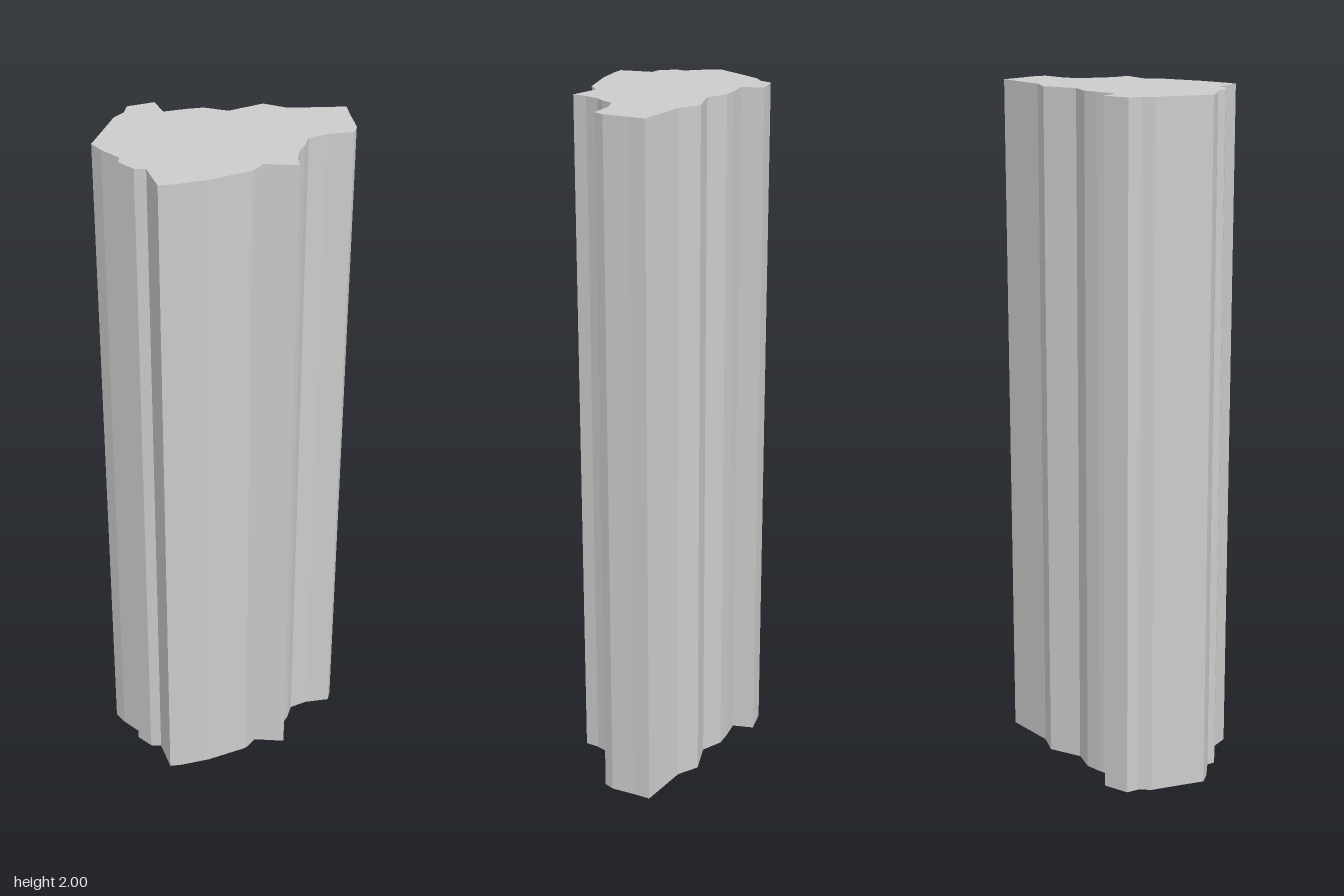
import * as THREE from 'three';

// Irregular footprint of the column as [x, z]
const OUTLINE = [
  // back right ridge
  [0.164, -0.328], [0.2, -0.296], [0.256, -0.25], [0.271, -0.221],
  // +x side with its sharp fin
  [0.224, -0.165], [0.203, -0.116], [0.221, -0.076], [0.227, -0.049],
  [0.25, -0.012], [0.279, 0.017], [0.206, 0.07], [0.208, 0.117],
  // front
  [0.152, 0.23], [0.104, 0.3], [0.08, 0.327], [0, 0.28], [-0.024, 0.299],
  [-0.078, 0.298], [-0.092, 0.278], [-0.158, 0.276], [-0.2, 0.267],
  // -x side
  [-0.261, 0.117], [-0.261, 0.078], [-0.28, 0.046], [-0.242, -0.02],
  // stepped back
  [-0.185, 0.007], [-0.15, -0.044], [-0.12, -0.08], [-0.058, -0.107],
  [-0.016, -0.2], [0.05, -0.222],
];
const HEIGHT = 2;

export function createModel() {
  const group = new THREE.Group();
  group.name = 'rockColumn';

  // Extrude the footprint, then stand it upright on the ground
  const shape = new THREE.Shape(OUTLINE.map(([x, z]) => new THREE.Vector2(x, -z)));
  const geometry = new THREE.ExtrudeGeometry(shape, { depth: HEIGHT, bevelEnabled: false });
  geometry.rotateX(-Math.PI / 2);

  const material = new THREE.MeshStandardMaterial({ color: 0xcccccc, flatShading: true });
  const column = new THREE.Mesh(geometry, material);
  column.name = 'columnShaft';
  group.add(column);
  return group;
}
